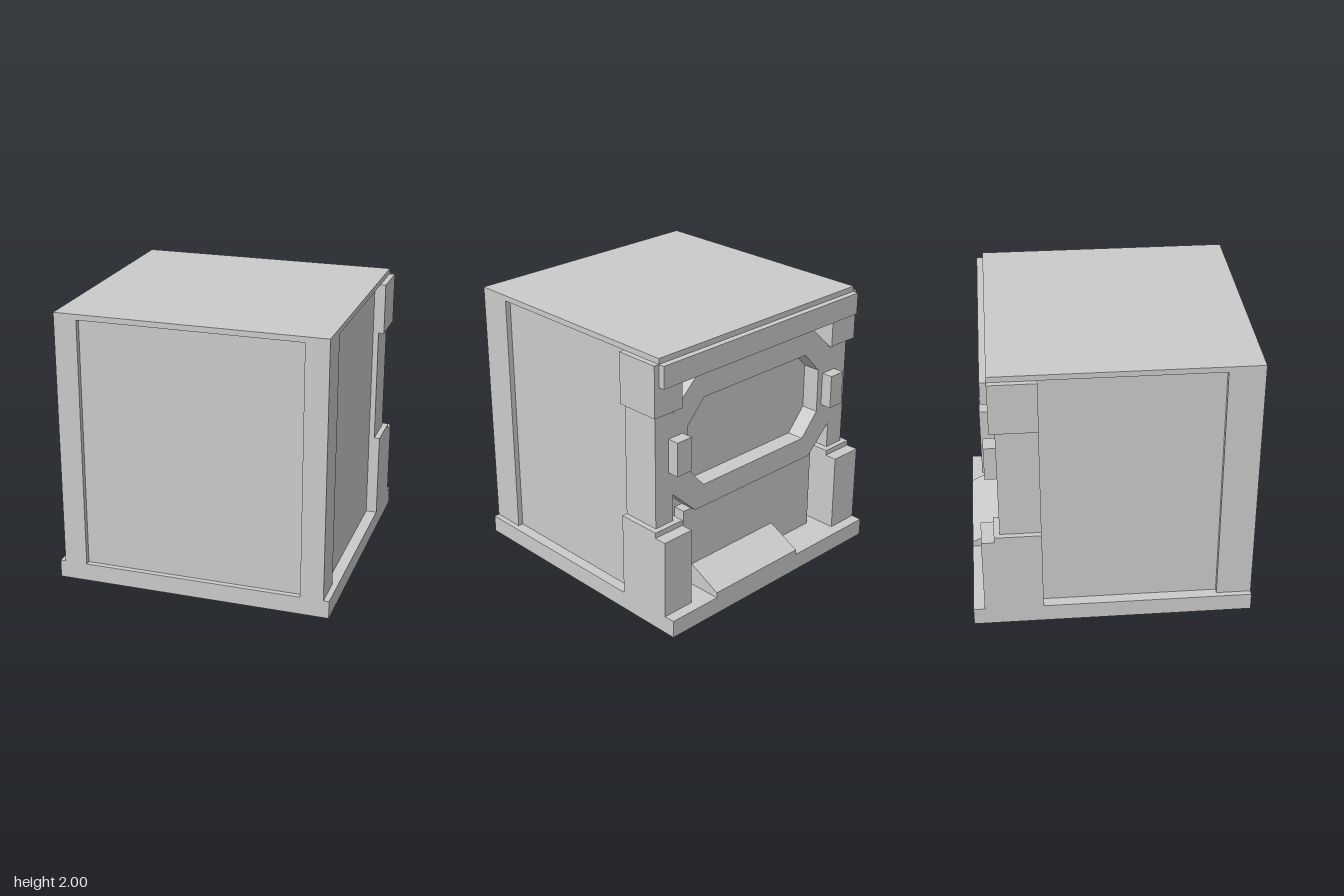
import * as THREE from 'three';

export function createModel() {
  const model = new THREE.Group();
  const material = new THREE.MeshStandardMaterial({ color: 0xcccccc, flatShading: true });

  function add(name, geometry) {
    const mesh = new THREE.Mesh(geometry, material);
    mesh.name = name;
    model.add(mesh);
    return mesh;
  }

  // Box given by its lower and upper limits on each axis
  function box(name, x0, x1, y0, y1, z0, z1) {
    const g = new THREE.BoxGeometry(x1 - x0, y1 - y0, z1 - z0);
    g.translate((x0 + x1) / 2, (y0 + y1) / 2, (z0 + z1) / 2);
    return add(name, g);
  }

  // The same box on the left and right sides
  function pair(name, x0, x1, y0, y1, z0, z1) {
    box(name + 'Left', x0, x1, y0, y1, z0, z1);
    box(name + 'Right', -x1, -x0, y0, y1, z0, z1);
  }

  const points = (list) => list.map(([x, y]) => new THREE.Vector2(x, y));

  // Main volume
  box('base', -1, 1, 0, 0.13, -1, 1);
  box('core', -0.92, 0.92, 0.13, 1.96, -0.66, 0.96);
  box('roof', -0.96, 0.96, 1.96, 2, -0.83, 1);

  // Corner pillars framing the recessed front and side panels
  pair('frontPillar', 0.795, 0.96, 0.13, 1.96, 0.75, 1);
  pair('rearPillar', 0.8, 0.96, 0.13, 1.96, -0.66, -0.5);

  // Rear plate with stepped openings above and below an octagonal window
  const half = [
    [0.96, 0.13], [0.96, 1.96], [0.8, 1.96], [0.8, 1.55], [0.59, 1.75],
  ];
  const lower = [[-0.59, 0.75], [0.59, 0.75], [0.8, 0.95], [0.8, 0.13]];
  const outline = [
    ...half,
    ...half.map(([x, y]) => [-x, y]).reverse(),
    [-0.8, 0.13], [-0.8, 0.95],
    ...lower,
  ];
  const plate = new THREE.Shape(points(outline));
  plate.holes.push(new THREE.Path(points([
    [0.66, 1.09], [0.66, 1.42], [0.51, 1.58], [-0.51, 1.58],
    [-0.66, 1.42], [-0.66, 1.09], [-0.51, 0.92], [0.51, 0.92],
  ])));
  const plateGeometry = new THREE.ExtrudeGeometry(plate, { depth: 0.13, bevelEnabled: false });
  plateGeometry.translate(0, 0, -0.79);
  add('rearPlate', plateGeometry);

  // Inset panels below and above the plate's window
  box('lowerRearPanel', -0.66, 0.66, 0.13, 0.75, -0.75, -0.66);
  box('upperRearPanel', -0.66, 0.66, 1.75, 1.96, -0.75, -0.66);

  // Top rail and rear corner blocks
  box('topRail', -0.96, 0.96, 1.8, 1.96, -0.875, -0.66);
  pair('upperCornerBlock', 0.75, 1, 1.59, 1.96, -0.83, -0.5);
  pair('lowerCornerBlock', 0.75, 1, 0.13, 0.75, -0.83, -0.5);
  pair('lowerCornerPost', 0.75, 1, 0.13, 0.71, -0.92, -0.83);

  // Small blocks beside the window
  pair('windowBlock', 0.71, 0.84, 1.13, 1.38, -0.875, -0.79);

  // Sloping step on the rear edge of the base (profile in z, y)
  const ramp = new THREE.Shape(points([[-1, 0.13], [-0.75, 0.13], [-0.75, 0.295], [-1, 0.17]]));
  const rampGeometry = new THREE.ExtrudeGeometry(ramp, { depth: 0.83, bevelEnabled: false });
  rampGeometry.rotateY(-Math.PI / 2);
  rampGeometry.translate(0.58, 0, 0);
  add('rearRamp', rampGeometry);

  return model;
}
